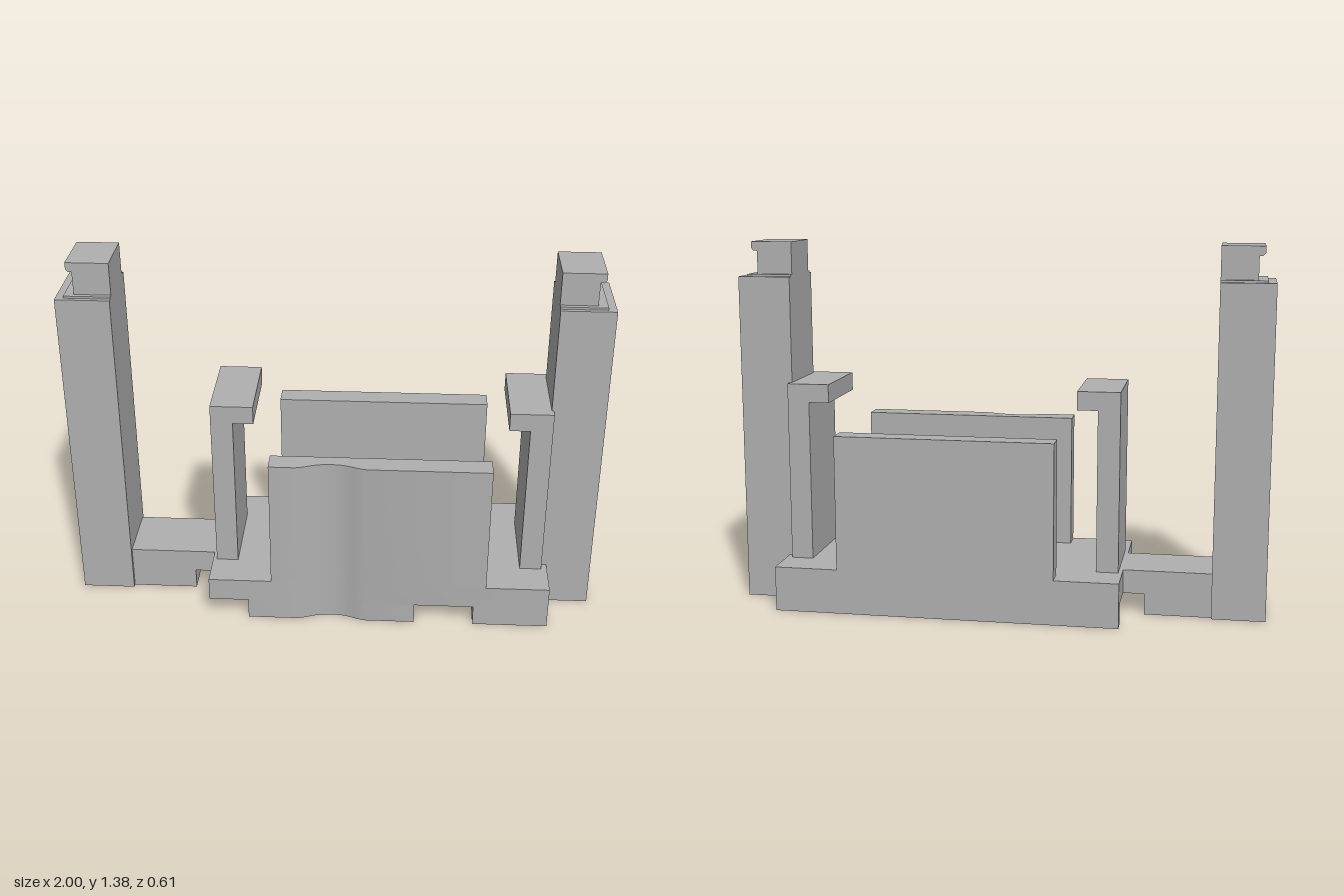
import * as THREE from 'three';
import { toCreasedNormals } from 'three/addons/utils/BufferGeometryUtils.js';

const FRONT = 0.303; // half depth of the base

export function createModel() {
  const model = new THREE.Group();
  model.name = 'bracketFrame';
  const grey = new THREE.MeshStandardMaterial({ color: 0xb0b0b0 });
  grey.name = 'plain grey';

  const add = (name, geometry, parent = model) => {
    const mesh = new THREE.Mesh(geometry, grey);
    mesh.name = name;
    parent.add(mesh);
    return mesh;
  };

  // Box given by its limits on each axis
  const box = (name, x0, x1, y0, y1, z0, z1, parent) => {
    const mesh = add(name, new THREE.BoxGeometry(x1 - x0, y1 - y0, z1 - z0), parent);
    mesh.position.set((x0 + x1) / 2, (y0 + y1) / 2, (z0 + z1) / 2);
    return mesh;
  };

  // Upright slab whose front face has the shallow rounded scoop
  const scooped = (name, x0, x1, y0, y1, zBack) => {
    const s = new THREE.Shape();
    s.moveTo(x0, -FRONT);
    s.lineTo(-0.13, -FRONT);
    s.splineThru([[-0.1, 0.295], [-0.05, 0.278], [0, 0.273], [0.05, 0.278], [0.1, 0.295], [0.13, FRONT]]
      .map(([x, z]) => new THREE.Vector2(x, -z)));
    s.lineTo(x1, -FRONT);
    s.lineTo(x1, -zBack);
    s.lineTo(x0, -zBack);
    s.closePath();
    const g = new THREE.ExtrudeGeometry(s, { depth: y1 - y0, bevelEnabled: false, curveSegments: 4 });
    g.rotateX(-Math.PI / 2);
    g.translate(0, y0, 0);
    return add(name, toCreasedNormals(g, 0.6));
  };

  // Base: slab above, feet below separated by two slots closed at the back
  scooped('baseSlab', -0.47, 0.83, 0.08, 0.17, -FRONT);
  scooped('middleFoot', -0.32, 0.32, 0, 0.08, -0.25);
  box('leftFoot', 0.545, 0.83, 0, 0.08, -0.25, FRONT);
  box('backRail', -0.47, 0.83, 0, 0.08, -FRONT, -0.25);

  // Side walls
  scooped('frontWall', -0.23, 0.59, 0.17, 0.68, 0.22);
  box('backWall', -0.23, 0.59, 0.17, 0.68, -FRONT, -0.22);

  // Arm joining the base to the right tower
  box('armBridge', -0.55, -0.47, 0.08, 0.17, -0.118, 0.118);
  box('armFoot', -0.8, -0.55, 0, 0.17, -0.118, 0.118);

  // Inward-facing hooks
  const hook = (name, outer, dir) => {
    const s = new THREE.Shape([[0, 0.17], [0.083, 0.17], [0.083, 0.78], [0.16, 0.78], [0.16, 0.85], [0, 0.85]]
      .map(([d, y]) => new THREE.Vector2(outer + dir * d, y)));
    const g = new THREE.ExtrudeGeometry(s, { depth: 0.33, bevelEnabled: false });
    add(name, g.translate(0, 0, -0.165));
  };
  hook('rightHook', -0.455, 1);
  hook('leftHook', 0.808, -1);

  // Towers with an overhanging catch on top
  for (const side of [-1, 1]) {
    const tower = new THREE.Group();
    tower.name = side > 0 ? 'leftTower' : 'rightTower';
    model.add(tower);
    const span = (a, b) => (side > 0 ? [a, b] : [-b, -a]);
    box('post', ...span(0.8, 1), 0, 1.25, -0.133, 0.133, tower);
    box('lip', ...span(0.8, 0.97), 1.25, 1.258, -0.117, 0.117, tower);
    const s = new THREE.Shape([[0.8, 1.258], [0.935, 1.258], [0.935, 1.345], [0.948, 1.345],
      [0.957, 1.355], [0.957, 1.38], [0.8, 1.38]].map(([x, y]) => new THREE.Vector2(side * x, y)));
    const g = new THREE.ExtrudeGeometry(s, { depth: 0.2, bevelEnabled: false });
    add('catch', g.translate(0, 0, -0.1), tower);
  }

  return model;
}
